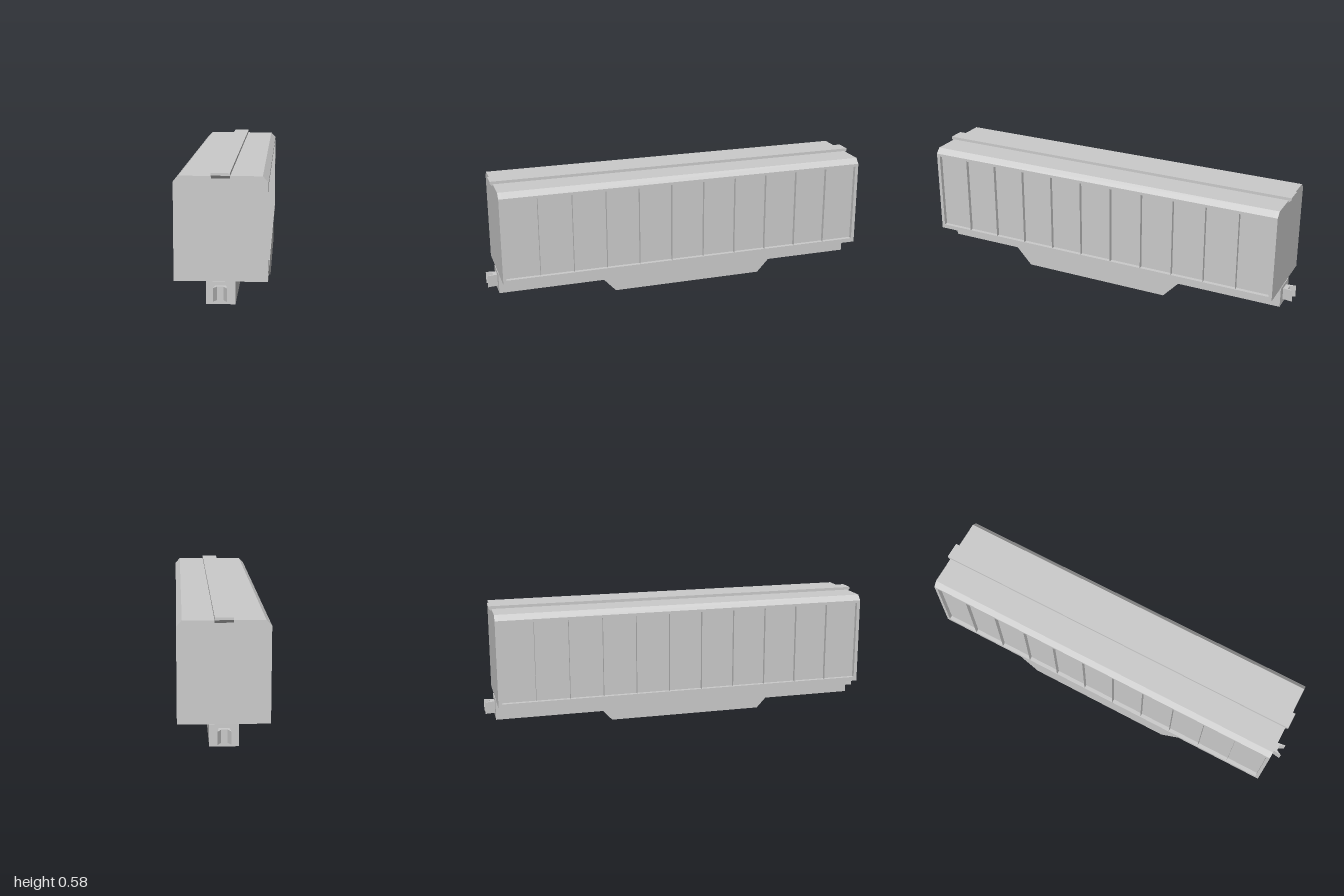
import * as THREE from 'three';

const W = 0.206, FLOOR = 0.104, EAVE = 0.541, ROOF = 0.567, ROOF_W = 0.181;
const HALF = 0.947, PANEL = 0.93, DEPTH = 0.02, P0 = 0.125, P1 = 0.527;

const grey = new THREE.MeshStandardMaterial({ color: 0xcccccc, flatShading: true });
const thin = new THREE.MeshStandardMaterial({ color: 0xcccccc, flatShading: true, side: THREE.DoubleSide });

// Extrude an outline, centred along its depth
function prism(name, points, depth) {
  const shape = new THREE.Shape(points.map(([x, y]) => new THREE.Vector2(x, y)));
  const geo = new THREE.ExtrudeGeometry(shape, { depth, bevelEnabled: false });
  geo.translate(0, 0, -depth / 2);
  const mesh = new THREE.Mesh(geo, grey);
  mesh.name = name;
  return mesh;
}

// Complete a right-hand outline (bottom to top) with its mirror image
const mirrored = (half) => [...half, ...half.map(([x, y]) => [-x, y]).reverse()];

export function createModel() {
  const model = new THREE.Group();
  model.name = 'boxcar';

  // Body with a long recess in each side, closed by a solid slab at each end
  const inner = W - DEPTH;
  model.add(prism('body', mirrored([
    [W, FLOOR], [W, P0], [inner, P0], [inner, P1], [W, P1], [W, EAVE], [ROOF_W, ROOF],
  ]), PANEL * 2));
  for (const s of [1, -1]) {
    const end = prism('endWall', mirrored([[W, FLOOR], [W, EAVE], [ROOF_W, ROOF]]), HALF - PANEL);
    end.position.z = s * (HALF + PANEL) / 2;
    model.add(end);
  }

  // Thin upright ribs dividing each side into eleven panels
  const ribs = new THREE.Group();
  ribs.name = 'sideRibs';
  const ribGeo = new THREE.PlaneGeometry(DEPTH, P1 - P0);
  for (const s of [1, -1]) {
    for (let i = 1; i <= 10; i++) {
      const rib = new THREE.Mesh(ribGeo, thin);
      rib.name = 'rib';
      rib.position.set(s * (W - DEPTH / 2), (P0 + P1) / 2, -PANEL + (i * PANEL * 2) / 11);
      ribs.add(rib);
    }
  }
  model.add(ribs);

  // Full-width belly with sloping ends
  const belly = prism('belly', mirrored([[0.385, 0], [0.482, FLOOR]]), W * 2);
  belly.rotation.y = Math.PI / 2;
  model.add(belly);

  // Centre sill running the whole length
  const sill = new THREE.Mesh(new THREE.BoxGeometry(0.13, 0.102, 1.9), grey);
  sill.name = 'centreSill';
  sill.position.y = 0.054;
  model.add(sill);

  // Roof walkway with undercut ends
  const walk = prism('roofWalk', mirrored([[0.943, 0.552], [0.961, 0.57], [0.961, 0.581]]), 0.082);
  walk.rotation.y = Math.PI / 2;
  model.add(walk);

  // Forked coupler at each end
  for (const s of [1, -1]) {
    const coupler = prism('coupler', [
      [-0.022, -0.94], [-0.03, -1], [-0.014, -0.972], [0.014, -0.972], [0.03, -1], [0.022, -0.94],
    ].reverse(), 0.06);
    coupler.rotation.x = -Math.PI / 2;
    coupler.position.y = 0.057;
    const mount = new THREE.Group();
    mount.name = s > 0 ? 'frontCoupler' : 'backCoupler';
    mount.rotation.y = s > 0 ? 0 : Math.PI;
    mount.add(coupler);
    model.add(mount);
  }
  return model;
}
